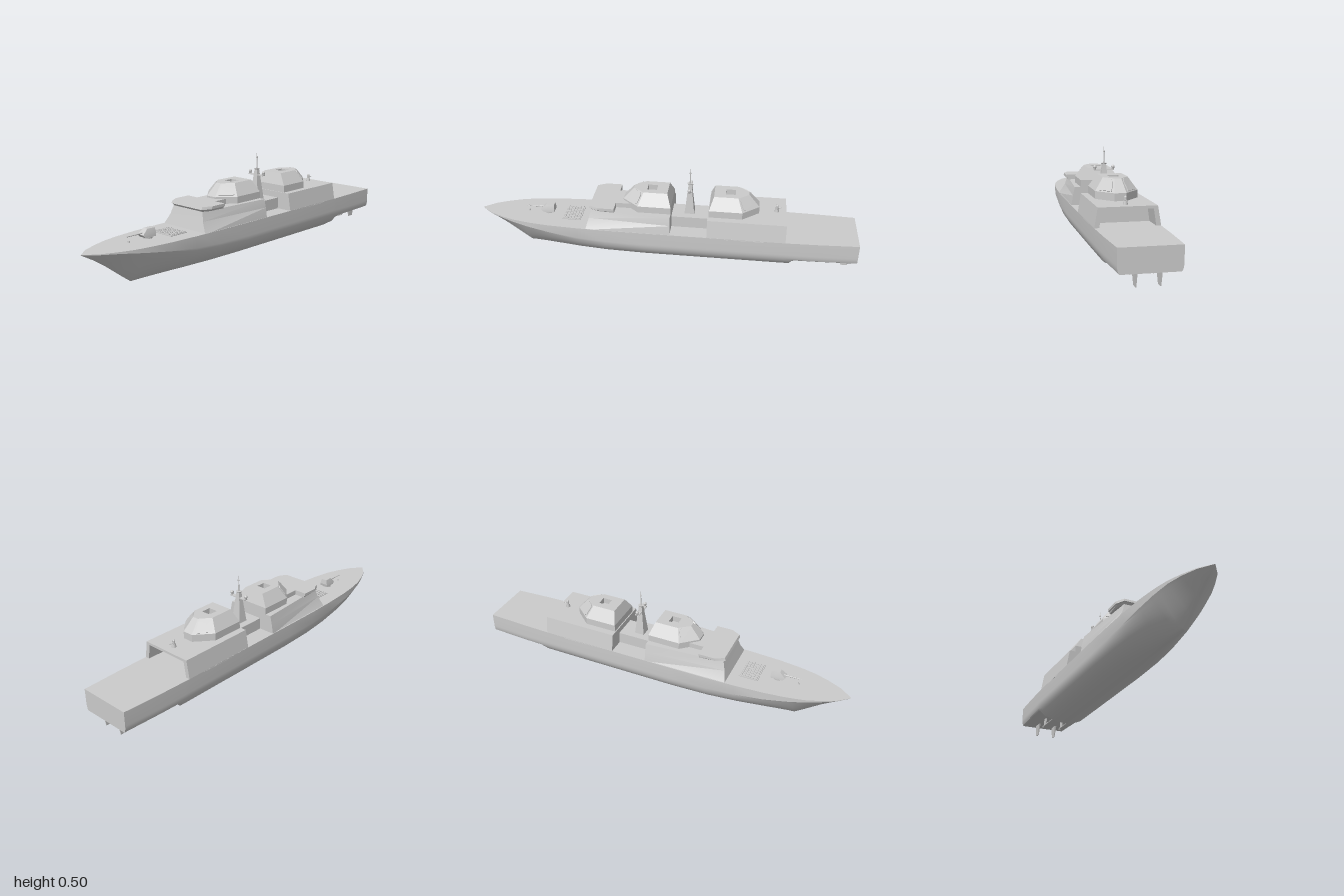
import * as THREE from 'three';
import { toCreasedNormals } from 'three/addons/utils/BufferGeometryUtils.js';

const grey = new THREE.MeshStandardMaterial({ color: 0xcccccc });
const DECK = 0.185;

// Skin between rings of [x, y, z] points, with both ends closed by a fan.
function loft(rings, crease = 0.3) {
  const pos = [];
  const tri = (a, b, c) => pos.push(...a, ...b, ...c);
  const mid = r => [0, 1, 2].map(k => r.reduce((s, p) => s + p[k], 0) / r.length);
  const n = rings[0].length, last = rings[rings.length - 1];
  const c0 = mid(rings[0]), c1 = mid(last);
  for (let i = 0; i < n; i++) {
    const j = (i + 1) % n;
    for (let r = 0; r < rings.length - 1; r++) {
      const a = rings[r], b = rings[r + 1];
      tri(a[i], a[j], b[j]);
      tri(a[i], b[j], b[i]);
    }
    tri(c0, rings[0][j], rings[0][i]);
    tri(c1, last[i], last[j]);
  }
  const g = new THREE.BufferGeometry();
  g.setAttribute('position', new THREE.Float32BufferAttribute(pos, 3));
  return toCreasedNormals(g, crease);
}

// Horizontal ring at height y; half holds +x points [x, z] from front to rear.
const ring = (y, half) => [
  ...half.map(([x, z]) => [-x, y, z]).reverse(),
  ...half.map(([x, z]) => [x, y, z]),
];

function add(parent, name, geometry, x = 0, y = 0, z = 0) {
  const m = new THREE.Mesh(geometry, grey);
  m.name = name;
  m.position.set(x, y, z);
  parent.add(m);
  return m;
}
const box = (w, h, d) => new THREE.BoxGeometry(w, h, d);
const cyl = (r1, r2, h, n = 12) => new THREE.CylinderGeometry(r1, r2, h, n);

// Hull stations: z, half width, keel height, knuckle height, sharpness of the V
const STATIONS = [
  [-1, 0.138, 0.075, 0.112, 0], [-0.8, 0.148, 0.075, 0.112, 0], [-0.69, 0.151, 0.075, 0.113, 0],
  [-0.66, 0.152, 0.035, 0.114, 0], [-0.63, 0.153, 0, 0.115, 0], [-0.3, 0.154, 0, 0.115, 0],
  [0.1, 0.154, 0, 0.115, 0], [0.3, 0.153, 0, 0.118, 0.1], [0.45, 0.149, 0, 0.126, 0.3],
  [0.6, 0.14, 0, 0.142, 0.6], [0.7, 0.128, 0, 0.156, 0.85], [0.74, 0.121, 0, 0.161, 0.95],
  [0.8, 0.108, 0.045, 0.17, 1], [0.87, 0.083, 0.1, 0.177, 1], [0.94, 0.05, 0.148, 0.181, 1],
  [1, 0.001, 0.183, 0.184, 1],
];
function hullGeometry() {
  const N = 16;
  return loft(STATIONS.map(([z, w, k, c, v]) => {
    const half = [], base = z < 0 ? 0 : k;
    for (let i = 0; i <= N; i++) {
      const a = (i / N) * Math.PI / 2, t = 1 - Math.cos(a);
      const x = w * ((1 - v) * Math.sin(a) + v * Math.pow(t, 0.8));
      half.push([x, Math.max(k, base + t * (c - base)), z]);
    }
    half.push([w, DECK, z]);
    return [...half, ...half.map(([x, y]) => [-x, y, z]).reverse()];
  }), 0.45);
}

// Faceted radar house, pointing to +z, with roof well and array panels
function radarHouse(name) {
  const g = new THREE.Group();
  g.name = name;
  const base = [[0.028, 0.255], [0.102, 0.17], [0.102, 0]];
  const top = [[0.016, 0.2], [0.06, 0.145], [0.06, 0.022]];
  const well = [[0.01, 0.13], [0.025, 0.13], [0.025, 0.08]];
  add(g, 'radarHouseShell', loft([
    ring(0.275, base), ring(0.314, base), ring(0.375, top), ring(0.375, well), ring(0.345, well),
  ]));
  // Raised panels on the two diagonal faces
  for (const s of [1, -1]) {
    const corner = (p, y) => new THREE.Vector3(s * p[0], y, p[1]);
    const A = corner(base[0], 0.314), B = corner(base[1], 0.314);
    const C = corner(top[1], 0.375), D = corner(top[0], 0.375);
    const at = (u, v) => A.clone().lerp(B, u).lerp(D.clone().lerp(C, u), v);
    const n = B.clone().sub(A).cross(D.clone().sub(A)).normalize();
    if (n.y < 0) n.negate();
    const uv = [[0.15, 0.08], [0.8, 0.08], [0.9, 0.2], [0.9, 0.8], [0.75, 0.95], [0.25, 0.95], [0.1, 0.8]];
    if (s < 0) uv.reverse();
    const lift = d => uv.map(([u, v]) => at(u, v).addScaledVector(n, d).toArray());
    add(g, 'radarPanel', loft([lift(-0.002), lift(0.004)]));
  }
  return g;
}

export function createModel() {
  const ship = new THREE.Group();
  ship.name = 'warship';
  add(ship, 'hull', hullGeometry());

  // Forward superstructure with sloped sides
  add(ship, 'forwardSuperstructure', loft([
    ring(0.18, [[0.15, 0.402], [0.153, -0.04]]),
    ring(0.235, [[0.117, 0.386], [0.144, -0.04]]),
    ring(0.279, [[0.104, 0.374], [0.134, -0.04]]),
  ]));
  // Bridge with wings
  add(ship, 'bridge', loft([
    ring(0.279, [[0.1, 0.372], [0.116, 0.335], [0.122, 0.25]]),
    ring(0.289, [[0.105, 0.38], [0.125, 0.335], [0.125, 0.25]]),
    ring(0.291, [[0.108, 0.385], [0.131, 0.338], [0.131, 0.25]]),
    ring(0.305, [[0.106, 0.38], [0.131, 0.335], [0.131, 0.25]]),
  ]));
  add(ship, 'bridgeRear', box(0.13, 0.03, 0.12), 0, 0.29, 0.2);
  const forwardRadar = radarHouse('forwardRadarHouse');
  forwardRadar.position.z = -0.04;
  ship.add(forwardRadar);

  // Narrow deckhouse between the two side bays
  add(ship, 'midDeckhouse', box(0.13, 0.065, 0.21), 0, 0.2125, -0.135);

  // Aft superstructure, solid in front and hollow at the hangar
  const aftTop = 0.137;
  add(ship, 'aftSuperstructure', loft([
    ring(0.18, [[0.154, -0.23], [0.154, -0.52]]),
    ring(0.277, [[aftTop, -0.23], [aftTop, -0.52]]),
  ]));
  const arch = [[0.153, DECK], [aftTop, 0.277], [-aftTop, 0.277], [-0.153, DECK],
    [-0.13, DECK], [-0.118, 0.264], [0.118, 0.264], [0.13, DECK]];
  const hangar = new THREE.Shape(arch.map(p => new THREE.Vector2(...p)));
  add(ship, 'hangar', new THREE.ExtrudeGeometry(hangar, { depth: 0.11, bevelEnabled: false }), 0, 0, -0.63);
  const aftRadar = radarHouse('aftRadarHouse');
  aftRadar.rotation.y = Math.PI;
  aftRadar.position.z = -0.235;
  ship.add(aftRadar);

  // Mast with platforms, domes and pole
  const mast = new THREE.Group();
  mast.name = 'mast';
  mast.position.z = -0.13;
  ship.add(mast);
  add(mast, 'mastTower', loft([
    ring(0.24, [[0.028, 0.026], [0.028, -0.026]]),
    ring(0.41, [[0.009, 0.008], [0.009, -0.008]]),
  ]));
  add(mast, 'domePlatform', box(0.1, 0.004, 0.022), 0, 0.378, 0);
  add(mast, 'topPlatform', cyl(0.015, 0.013, 0.004), 0, 0.41, 0);
  add(mast, 'pole', cyl(0.0012, 0.0035, 0.085, 8), 0, 0.4525, 0);
  add(mast, 'antenna', cyl(0.005, 0.005, 0.006, 8), 0, 0.471, 0);
  for (const s of [1, -1]) {
    add(mast, 'domeBase', cyl(0.009, 0.006, 0.014), s * 0.047, 0.387, 0);
    add(mast, 'dome', new THREE.SphereGeometry(0.009, 12, 8), s * 0.047, 0.393, 0);
  }

  // Bow gun
  const gun = new THREE.Group();
  gun.name = 'bowGun';
  gun.position.set(0, DECK, 0.63);
  ship.add(gun);
  add(gun, 'gunRing', cyl(0.022, 0.022, 0.012, 16), 0, 0.004, 0);
  add(gun, 'turret', loft([
    ring(0.008, [[0.022, 0.03], [0.024, -0.03]]),
    ring(0.022, [[0.02, 0.042], [0.023, -0.033]]),
    ring(0.048, [[0.013, 0.012], [0.016, -0.03]]),
  ]));
  add(gun, 'barrel', cyl(0.0025, 0.004, 0.1, 10), 0, 0.029, 0.072).rotation.x = Math.PI / 2;
  add(ship, 'capstan', cyl(0.005, 0.006, 0.01, 10), 0, DECK + 0.004, 0.74);

  // Launch cell hatches
  const cells = new THREE.Group();
  cells.name = 'launchCells';
  ship.add(cells);
  add(cells, 'cellBase', box(0.136, 0.005, 0.1), 0, DECK + 0.001, 0.495);
  for (let i = 0; i < 8; i++) for (let j = 0; j < 6; j++) {
    add(cells, 'cellHatch', box(0.012, 0.004, 0.011),
      (i - 3.5) * 0.0162, DECK + 0.005, 0.495 + (j - 2.5) * 0.0155);
  }

  // Close-in gun on the hangar roof
  add(ship, 'roofGunBase', cyl(0.009, 0.012, 0.018), 0, 0.285, -0.58);
  add(ship, 'roofGunDome', new THREE.CapsuleGeometry(0.007, 0.014, 4, 10), 0, 0.303, -0.58);
  add(ship, 'roofGunBarrel', cyl(0.002, 0.002, 0.025, 8), 0, 0.299, -0.595).rotation.x = Math.PI / 2;

  // Shafts, struts, propellers and rudders
  for (const s of [1, -1]) {
    const x = s * 0.052;
    add(ship, 'shaft', cyl(0.004, 0.004, 0.22, 10), x, 0.036, -0.745).rotation.x = Math.PI / 2;
    add(ship, 'strut', box(0.006, 0.045, 0.028), x, 0.057, -0.813);
    add(ship, 'propellerHub', cyl(0.003, 0.006, 0.02, 10), x, 0.036, -0.85).rotation.x = -Math.PI / 2;
    const rudder = (y, w, f, r) => [[x - w, y, f], [x + w, y, f], [x + w, y, r], [x - w, y, r]];
    add(ship, 'rudder', loft([rudder(0.01, 0.002, -0.93, -0.965), rudder(0.08, 0.005, -0.912, -0.975)]));
  }
  return ship;
}
